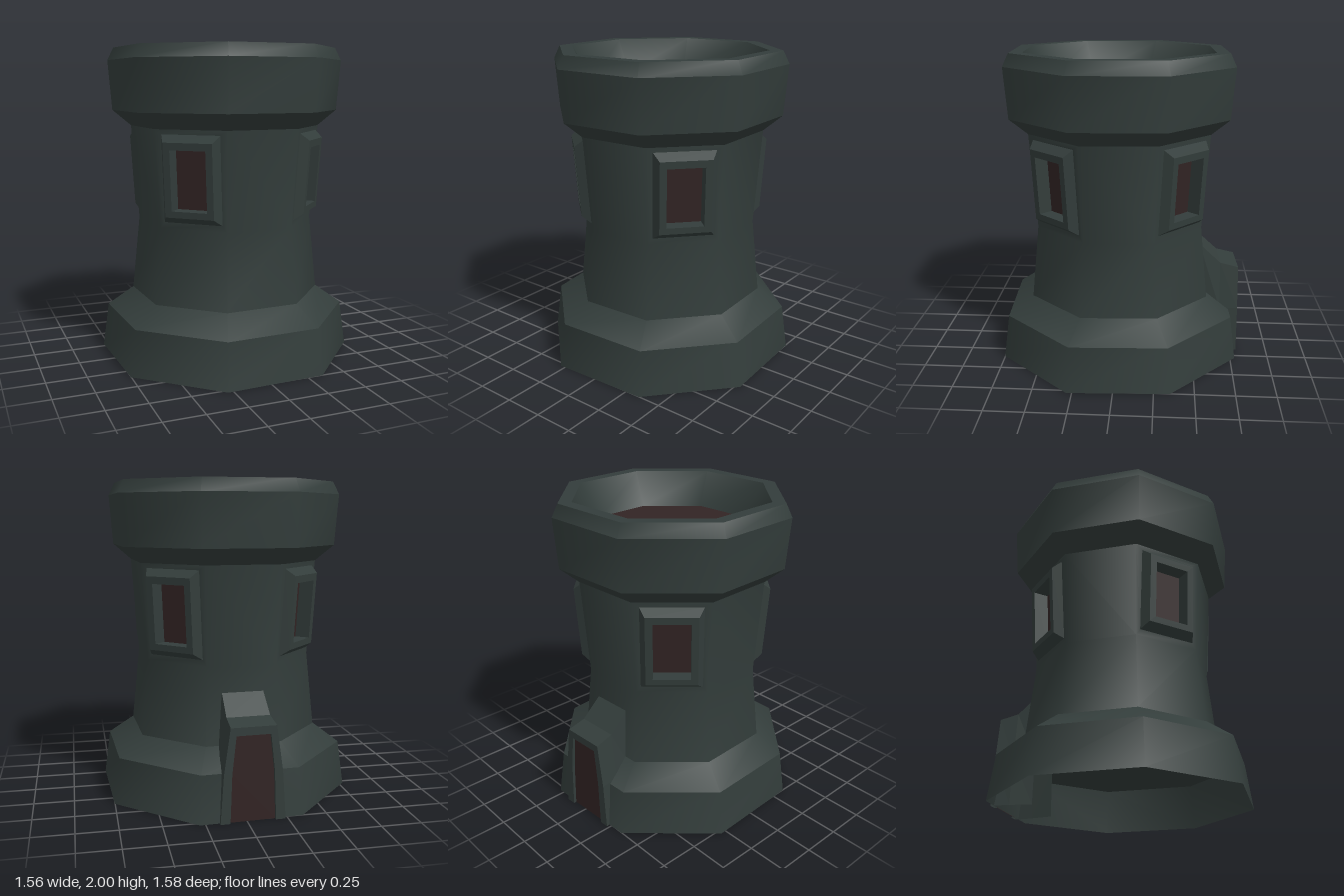
import * as THREE from 'three';
import { toCreasedNormals } from 'three/addons/utils/BufferGeometryUtils.js';

const RAD = Math.PI / 180;
const APOTHEM = Math.cos(22.5 * RAD);

// Eight-sided ring of points
const ring = (r, y) => Array.from({ length: 8 }, (_, k) => {
  const a = (20 + 45 * k) * RAD;
  return [r * Math.cos(a), y, r * Math.sin(a)];
});

// Point on a wall side: u along the wall, y up, d out from the axis
const onSide = (deg, u, y, d) => {
  const c = Math.cos(deg * RAD), s = Math.sin(deg * RAD);
  return [d * c - u * s, y, d * s + u * c];
};

const quad = (a, b, c, d) => [a, b, c, a, c, d];

// Band of quads between two loops (or open lines) of points
function strip(a, b, closed = true) {
  const out = [];
  for (let i = 0; i < a.length - (closed ? 0 : 1); i++) {
    const j = (i + 1) % a.length;
    out.push(...quad(a[i], a[j], b[j], b[i]));
  }
  return out;
}

// Flat face filling a loop
const fan = (loop) => loop.slice(2).flatMap((p, i) => [loop[0], loop[i + 1], p]);

function makeMesh(name, points, material, smooth = true) {
  const geo = new THREE.BufferGeometry();
  geo.setAttribute('position', new THREE.Float32BufferAttribute(points.flat(), 3));
  geo.computeVertexNormals();
  const mesh = new THREE.Mesh(smooth ? toCreasedNormals(geo, 46 * RAD) : geo, material);
  mesh.name = name;
  return mesh;
}

export function createModel() {
  const stone = new THREE.MeshStandardMaterial({ color: 0x333d3b, side: THREE.DoubleSide });
  stone.name = 'dark stone';
  const wood = new THREE.MeshStandardMaterial({ color: 0x322424, side: THREE.DoubleSide });
  wood.name = 'dark red wood';

  const tower = new THREE.Group();
  tower.name = 'tower';

  // Rings of horizontal bands, listed as [radius, height]
  const band = (name, ...profile) => {
    const rings = profile.map(([r, y]) => ring(r, y));
    for (let i = 1; i < rings.length; i++) {
      tower.add(makeMesh(name, strip(rings[i], rings[i - 1]), stone));
    }
  };
  band('base', [0.83, 0], [0.79, 0.29], [0.62, 0.41]);
  band('crown', [0.615, 1.5], [0.735, 1.6], [0.76, 1.92], [0.72, 2], [0.635, 2], [0.505, 1.79]);
  tower.add(makeMesh('underside', fan(ring(0.79, 0.288)), stone));
  tower.add(makeMesh('roofFloor', fan(ring(0.505, 1.79)), wood));

  // Shaft, with a rectangular opening in every second upper side
  const waistY = 0.89, neckY = 1.5, waistR = 0.57, neckR = 0.615;
  const foot = ring(0.62, 0.41), waist = ring(waistR, waistY), neck = ring(neckR, neckY);
  const wallAt = (y) => APOTHEM * (waistR + (neckR - waistR) * (y - waistY) / (neckY - waistY));
  const windowLoop = (deg, half, y0, y1, out) =>
    [[-half, y0], [-half, y1], [half, y1], [half, y0]]
      .map(([u, y]) => onSide(deg, u, y, wallAt(y) + out));

  const shaft = strip(waist, foot);
  for (let k = 0; k < 8; k++) {
    const j = (k + 1) % 8;
    const side = [waist[k], neck[k], neck[j], waist[j]];
    if (k % 2) {
      shaft.push(...quad(...side));
      continue;
    }
    // Window: bevelled frame, recess and pane
    const deg = 42.5 + 45 * k;
    const edge = windowLoop(deg, 0.19, 0.93, 1.47, 0);
    const rim = windowLoop(deg, 0.158, 0.97, 1.425, 0.055);
    const hole = windowLoop(deg, 0.115, 1.01, 1.38, 0.055);
    const back = windowLoop(deg, 0.115, 1.01, 1.38, -0.04);
    shaft.push(...strip(side, edge));
    const win = new THREE.Group();
    win.name = 'window';
    win.add(makeMesh('windowFrame', [...strip(edge, rim), ...strip(rim, hole), ...strip(hole, back)], stone, false));
    win.add(makeMesh('windowPane', fan(back), wood, false));
    tower.add(win);
  }
  tower.add(makeMesh('shaft', shaft, stone));

  // Doorway on the back side: outlines run up one jamb, over and down the other
  const doorLine = (points, d) => [...points, ...points.map(([u, y]) => [-u, y]).reverse()]
    .map(([u, y]) => onSide(267.5, u, y, d));
  const wall = doorLine([[-0.17, 0], [-0.16, 0.3], [-0.13, 0.74]], 0.53);
  const mid = doorLine([[-0.19, 0], [-0.175, 0.3], [-0.135, 0.61]], 0.67);
  const front = doorLine([[-0.2, 0], [-0.18, 0.3], [-0.14, 0.58]], 0.79);
  const opening = doorLine([[-0.14, 0], [-0.13, 0.3], [-0.105, 0.53]], 0.79);
  const inner = doorLine([[-0.14, 0], [-0.13, 0.3], [-0.105, 0.53]], 0.771);
  const door = new THREE.Group();
  door.name = 'doorway';
  door.add(makeMesh('doorFrame', [
    ...strip(wall, mid, false), ...strip(mid, front, false),
    ...strip(front, opening, false), ...strip(opening, inner, false),
  ], stone, false));
  door.add(makeMesh('doorPanel', fan(inner), wood, false));
  tower.add(door);

  return tower;
}
